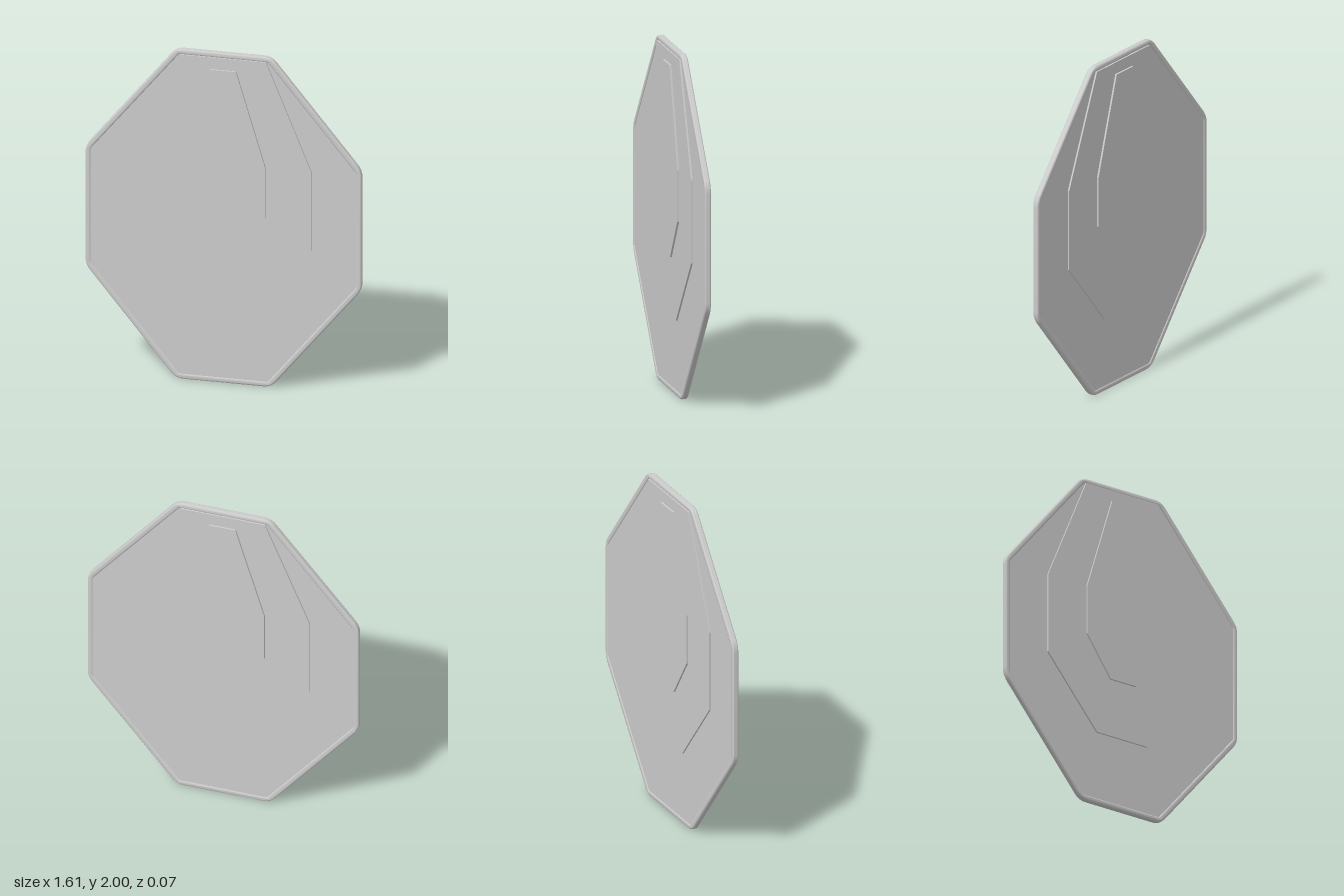
import * as THREE from 'three';
import { toCreasedNormals } from 'three/addons/utils/BufferGeometryUtils.js';

const material = new THREE.MeshStandardMaterial({ color: 0xcccccc });

// Mirror a right-hand profile (top to bottom) into a closed counter-clockwise outline
function mirrored(half) {
  const right = half.map(([x, y]) => new THREE.Vector2(x, y));
  const left = right.map((p) => new THREE.Vector2(-p.x, p.y));
  return [...left, ...right.reverse()];
}

// Trace an outline with every corner rounded off over the given distance
function trace(path, points, round) {
  points.forEach((p, i) => {
    const prev = points[(i + points.length - 1) % points.length];
    const next = points[(i + 1) % points.length];
    const a = p.clone().add(prev.clone().sub(p).setLength(round));
    const b = p.clone().add(next.clone().sub(p).setLength(round));
    if (i === 0) path.moveTo(a.x, a.y);
    else path.lineTo(a.x, a.y);
    path.quadraticCurveTo(p.x, p.y, b.x, b.y);
  });
  path.closePath();
  return path;
}

// Flat plate centred on z = 0
function plate(name, half, thickness) {
  const geometry = new THREE.ExtrudeGeometry(new THREE.Shape(mirrored(half)), {
    depth: thickness, bevelEnabled: false,
  });
  geometry.translate(0, 0, -thickness / 2);
  const mesh = new THREE.Mesh(geometry, material);
  mesh.name = name;
  return mesh;
}

export function createModel() {
  const group = new THREE.Group();
  group.name = 'octagonalPanel';

  const outer = [[0.277, 2], [0.805, 1.36], [0.805, 0.64], [0.277, 0]];
  const inner = [[0.258, 1.968], [0.773, 1.345], [0.773, 0.655], [0.258, 0.032]];

  // Rounded rim around the panel
  const bevel = 0.009;
  const rimShape = trace(new THREE.Shape(), mirrored(outer), 0.045);
  rimShape.holes.push(trace(new THREE.Path(), mirrored(inner), 0.012));
  const rimGeometry = new THREE.ExtrudeGeometry(rimShape, {
    depth: 0.018, bevelThickness: bevel, bevelSize: bevel, bevelOffset: -bevel,
    bevelSegments: 3, curveSegments: 6,
  });
  rimGeometry.translate(0, 0, -0.009);
  const rim = new THREE.Mesh(toCreasedNormals(rimGeometry, 0.7), material);
  rim.name = 'rim';
  group.add(rim);

  // Base sheet, tucked under the rim
  group.add(plate('basePanel', [[0.265, 1.98], [0.785, 1.35], [0.785, 0.65], [0.265, 0.02]], 0.028));

  // Stacked raised plates, proud on both faces
  group.add(plate('middlePlate', [[0.25, 1.97], [0.515, 1.33], [0.515, 0.85], [0.175, 0.44]], 0.048));
  group.add(plate('centrePlate', [[0.078, 1.9], [0.25, 1.33], [0.25, 1.03], [0.088, 0.79]], 0.07));

  return group;
}
